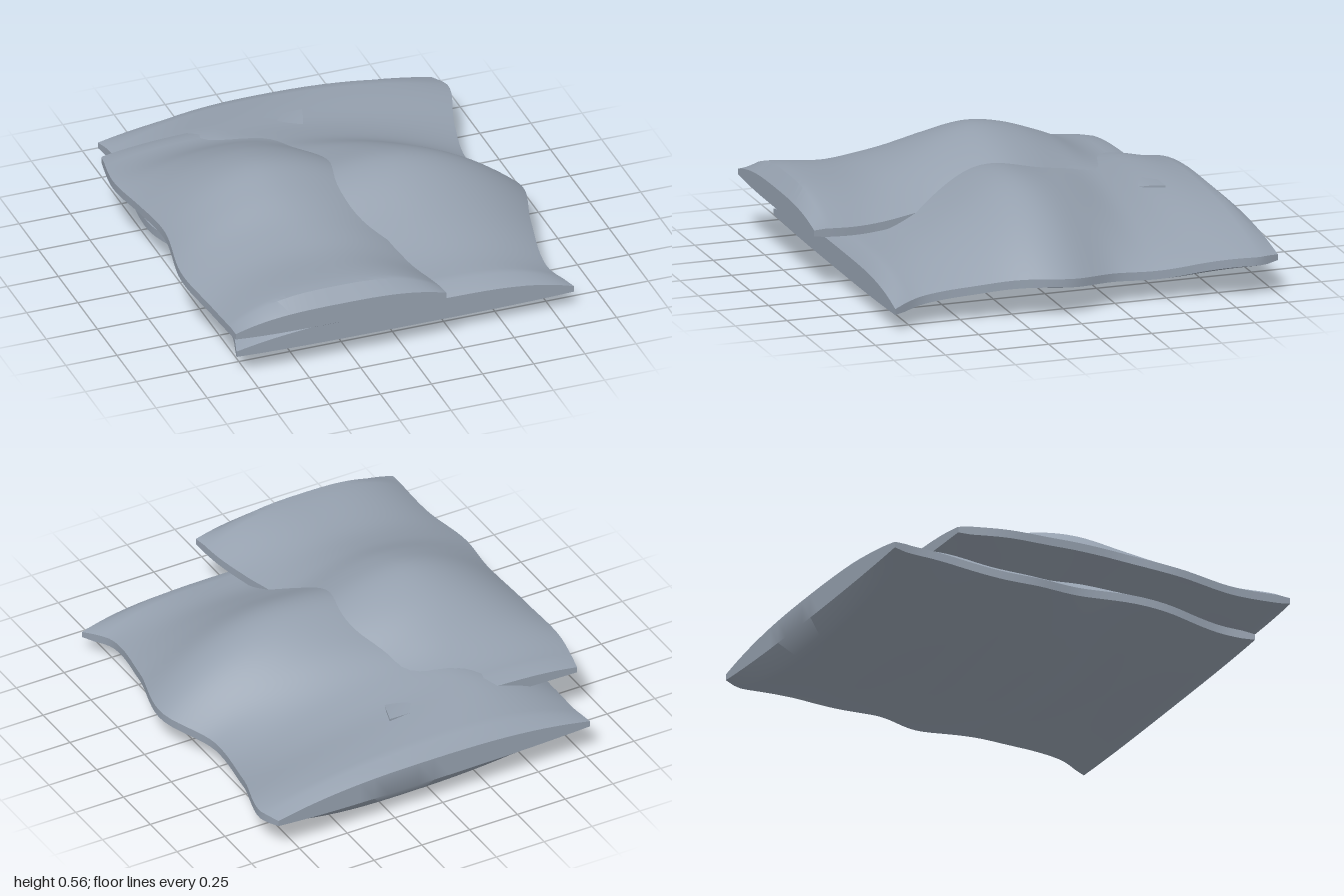
import * as THREE from 'three';
import { toCreasedNormals } from 'three/addons/utils/BufferGeometryUtils.js';

// Smooth curve through [z, value] pairs (sorted by z)
function smooth(keys) {
  const slope = (i) => {
    const a = keys[Math.max(i - 1, 0)], b = keys[Math.min(i + 1, keys.length - 1)];
    return (b[1] - a[1]) / (b[0] - a[0]);
  };
  return (z) => {
    let i = 0;
    while (i < keys.length - 2 && z > keys[i + 1][0]) i++;
    const [za, a] = keys[i], [zb, b] = keys[i + 1];
    const h = zb - za, t = (z - za) / h, t2 = t * t, t3 = t2 * t;
    return (2 * t3 - 3 * t2 + 1) * a + (t3 - 2 * t2 + t) * h * slope(i)
      + (3 * t2 - 2 * t3) * b + (t3 - t2) * h * slope(i + 1);
  };
}

// Soft slab lofted along z from cross-sections, with bevelled flat ends
function softSlab(name, { back, front, endTop, endBottom, ...curves }) {
  const N = 32, M = 44, ring = 2 * (N + 1), bevel = 0.06;
  const c = {};
  for (const k in curves) c[k] = smooth(curves[k]);
  const stations = [back];
  for (let i = 0; i <= M; i++) {
    stations.push(back + bevel + (front - back - 2 * bevel) * i / M);
  }
  stations.push(front);

  const pos = [], index = [];
  stations.forEach((z, i) => {
    const end = i === 0 || i === stations.length - 1;
    const l = c.left(z), r = c.right(z), ly = c.leftY(z), ry = c.rightY(z);
    const rim = end ? 0.014 : 0.02, power = c.power(z);
    // Fullness of the swelling: 1 at its crest, 0 at the side edges
    const swell = (x, crest) => {
      const s = x > crest ? (x - crest) / (r - crest) : (crest - x) / (crest - l);
      return 1 - Math.pow(Math.min(s, 1), power);
    };
    const upper = [], lower = [];
    for (let j = 0; j <= N; j++) {
      const f = (1 + Math.cos(Math.PI * j / N)) / 2;
      const x = l + (r - l) * f, seam = ly + (ry - ly) * f;
      const up = swell(x, c.crest(z)) * (end ? endTop : 1);
      const down = swell(x, c.belly(z)) * (end ? endBottom : 1);
      upper.push([x, seam + rim + up * (c.top(z) - seam - rim), z]);
      lower.unshift([x, seam - rim + down * (c.bottom(z) - seam + rim), z]);
    }
    for (const v of [...upper, ...lower]) pos.push(...v);
  });

  // Skin between neighbouring sections
  for (let i = 0; i < stations.length - 1; i++) {
    for (let j = 0; j < ring; j++) {
      const a = i * ring + j, b = i * ring + (j + 1) % ring;
      index.push(a, b, a + ring, b, b + ring, a + ring);
    }
  }
  // End faces
  const last = (stations.length - 1) * ring;
  for (let j = 0; j < N; j++) {
    const t0 = j, t1 = j + 1, b0 = ring - 1 - j, b1 = ring - 2 - j;
    index.push(t0, b1, t1, t0, b0, b1);
    index.push(last + t0, last + t1, last + b1, last + t0, last + b1, last + b0);
  }

  const geo = new THREE.BufferGeometry();
  geo.setAttribute('position', new THREE.Float32BufferAttribute(pos, 3));
  geo.setIndex(index);
  const mesh = new THREE.Mesh(toCreasedNormals(geo, 0.7),
    new THREE.MeshStandardMaterial({ color: 0x95a0ae }));
  mesh.name = name;
  return mesh;
}

export function createModel() {
  const model = new THREE.Group();
  model.name = 'foldedCushions';

  // Wide cushion underneath
  model.add(softSlab('lowerCushion', {
    back: -1, front: 0.85, endTop: 0.6, endBottom: 0.25,
    left: [[-1, -0.77], [-0.88, -0.75], [-0.7, -0.76], [-0.3, -0.79], [0, -0.74], [0.4, -0.78], [0.68, -0.76], [0.85, -0.8]],
    right: [[-1, 0.86], [-0.88, 0.9], [-0.6, 0.82], [-0.27, 0.78], [0.03, 0.9], [0.35, 0.83], [0.68, 0.78], [0.85, 0.85]],
    leftY: [[-1, 0.18], [-0.8, 0.18], [-0.4, 0.14], [0.2, 0.18], [0.6, 0.14], [0.85, 0.11]],
    rightY: [[-1, 0.18], [-0.8, 0.18], [-0.4, 0.13], [0.15, 0.18], [0.5, 0.15], [0.85, 0.105]],
    top: [[-1, 0.31], [-0.9, 0.325], [-0.7, 0.355], [-0.55, 0.37], [-0.4, 0.385], [-0.2, 0.44], [0, 0.495], [0.1, 0.5], [0.2, 0.47], [0.4, 0.36], [0.6, 0.27], [0.8, 0.24], [0.85, 0.235]],
    bottom: [[-1, 0.09], [-0.8, 0.04], [-0.6, 0.005], [-0.4, 0.02], [-0.22, 0.045], [0.02, 0.01], [0.15, 0.03], [0.35, 0.075], [0.6, 0.06], [0.85, 0.05]],
    crest: [[-1, 0.05], [-0.85, -0.15], [-0.65, -0.33], [-0.45, -0.2], [-0.2, 0.1], [0, 0.2], [0.85, 0.2]],
    belly: [[-1, 0.2], [-0.6, 0.3], [-0.3, 0.15], [0, -0.02], [0.4, 0], [0.85, 0.05]],
    power: [[-1, 2.6], [-0.8, 2], [-0.6, 1.7], [-0.3, 1.9], [0, 2], [0.5, 2.2], [0.85, 3.2]],
  }));

  // Narrow cushion draped on top
  model.add(softSlab('upperCushion', {
    back: -0.72, front: 1, endTop: 0.5, endBottom: 0.3,
    left: [[-0.72, -0.86], [-0.47, -0.9], [-0.2, -0.88], [0.1, -0.86], [0.4, -0.9], [0.7, -0.87], [1, -0.86]],
    right: [[-0.72, 0.12], [-0.4, 0.04], [0, 0.18], [0.35, 0.08], [0.65, 0.11], [0.85, 0.15], [1, 0.17]],
    leftY: [[-0.72, 0.28], [-0.4, 0.3], [0.05, 0.33], [0.4, 0.295], [0.7, 0.28], [1, 0.3]],
    rightY: [[-0.72, 0.325], [-0.4, 0.3], [0.05, 0.36], [0.4, 0.31], [0.7, 0.28], [1, 0.3]],
    top: [[-0.72, 0.35], [-0.6, 0.355], [-0.5, 0.385], [-0.35, 0.46], [-0.15, 0.54], [0.03, 0.57], [0.2, 0.53], [0.4, 0.45], [0.6, 0.41], [0.9, 0.43], [1, 0.42]],
    bottom: [[-0.72, 0.25], [-0.4, 0.25], [0.05, 0.3], [0.4, 0.26], [0.75, 0.225], [1, 0.235]],
    crest: [[-0.72, -0.4], [0, -0.37], [1, -0.35]],
    belly: [[-0.72, -0.4], [1, -0.35]],
    power: [[-0.72, 2.4], [0, 1.8], [0.5, 2.1], [1, 3]],
  }));

  return model;
}
